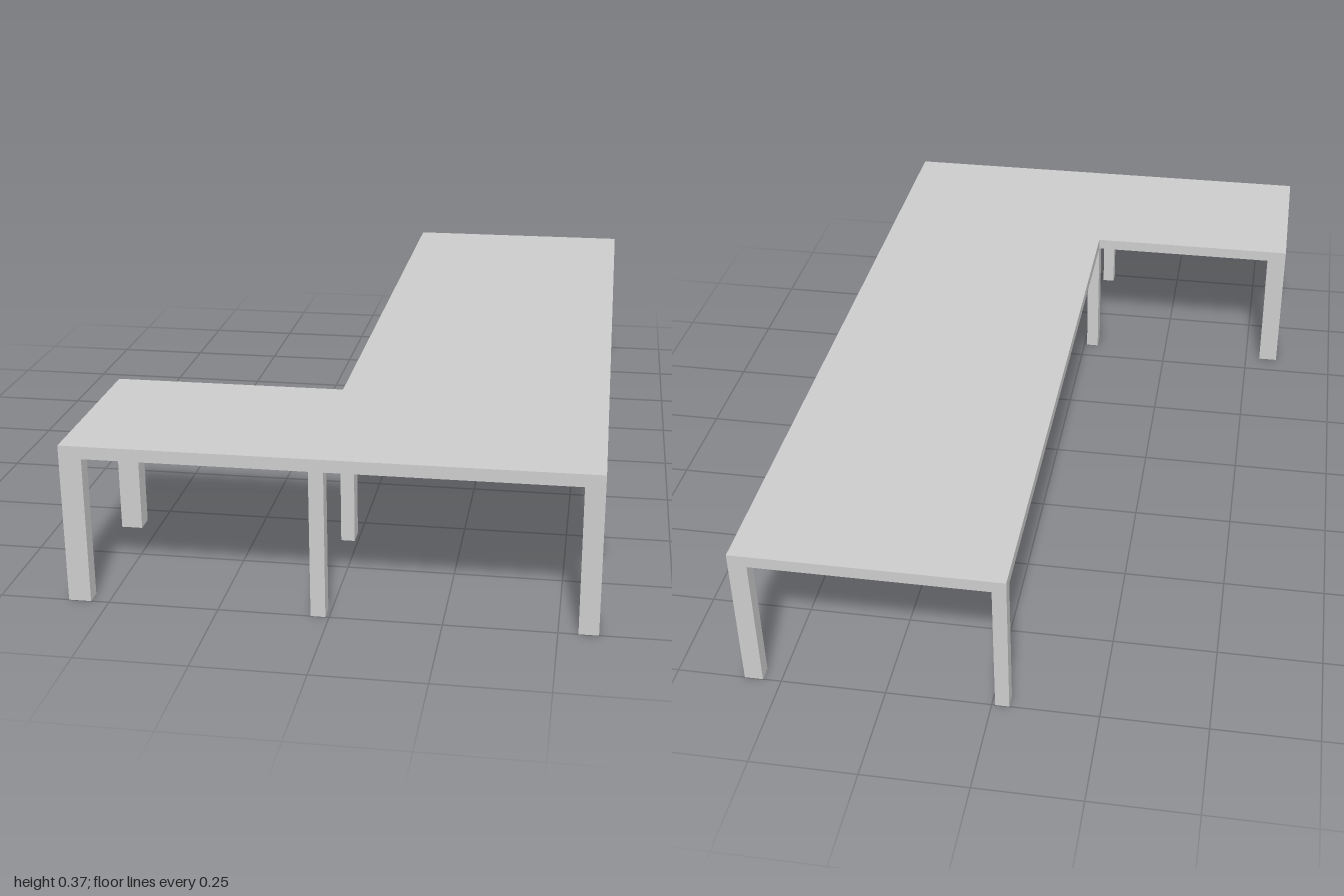
import * as THREE from 'three';

export function createModel() {
  const group = new THREE.Group();
  const material = new THREE.MeshStandardMaterial({ color: 0xcccccc, flatShading: true });
  const TOP = 0.372, UNDER = 0.343;

  // L-shaped table top, drawn in plan (shape y = -z) and extruded upwards
  const plan = new THREE.Shape([
    [-0.592, -1], [0.588, -1], [0.588, 1], [-0.041, 1], [-0.041, -0.559], [-0.592, -0.559],
  ].map(([x, y]) => new THREE.Vector2(x, y)));
  const slab = new THREE.ExtrudeGeometry(plan, { depth: TOP - UNDER, bevelEnabled: false });
  slab.rotateX(-Math.PI / 2);
  slab.translate(0, UNDER, 0);
  const tableTop = new THREE.Mesh(slab, material);
  tableTop.name = 'tableTop';
  group.add(tableTop);

  // Legs stand where these columns and rows cross, flush with the edges
  const columns = { right: [-0.592, -0.541], middle: [-0.041, -0.008], left: [0.544, 0.588] };
  const rows = { front: [0.963, 1], inner: [0.559, 0.607], back: [-1, -0.965] };
  for (const [row, [z0, z1]] of Object.entries(rows)) {
    for (const [column, [x0, x1]] of Object.entries(columns)) {
      if (row === 'back' && column === 'right') continue; // outside the L
      const leg = new THREE.Mesh(new THREE.BoxGeometry(x1 - x0, UNDER, z1 - z0), material);
      leg.position.set((x0 + x1) / 2, UNDER / 2, (z0 + z1) / 2);
      leg.name = `${row} ${column} leg`;
      group.add(leg);
    }
  }
  return group;
}
